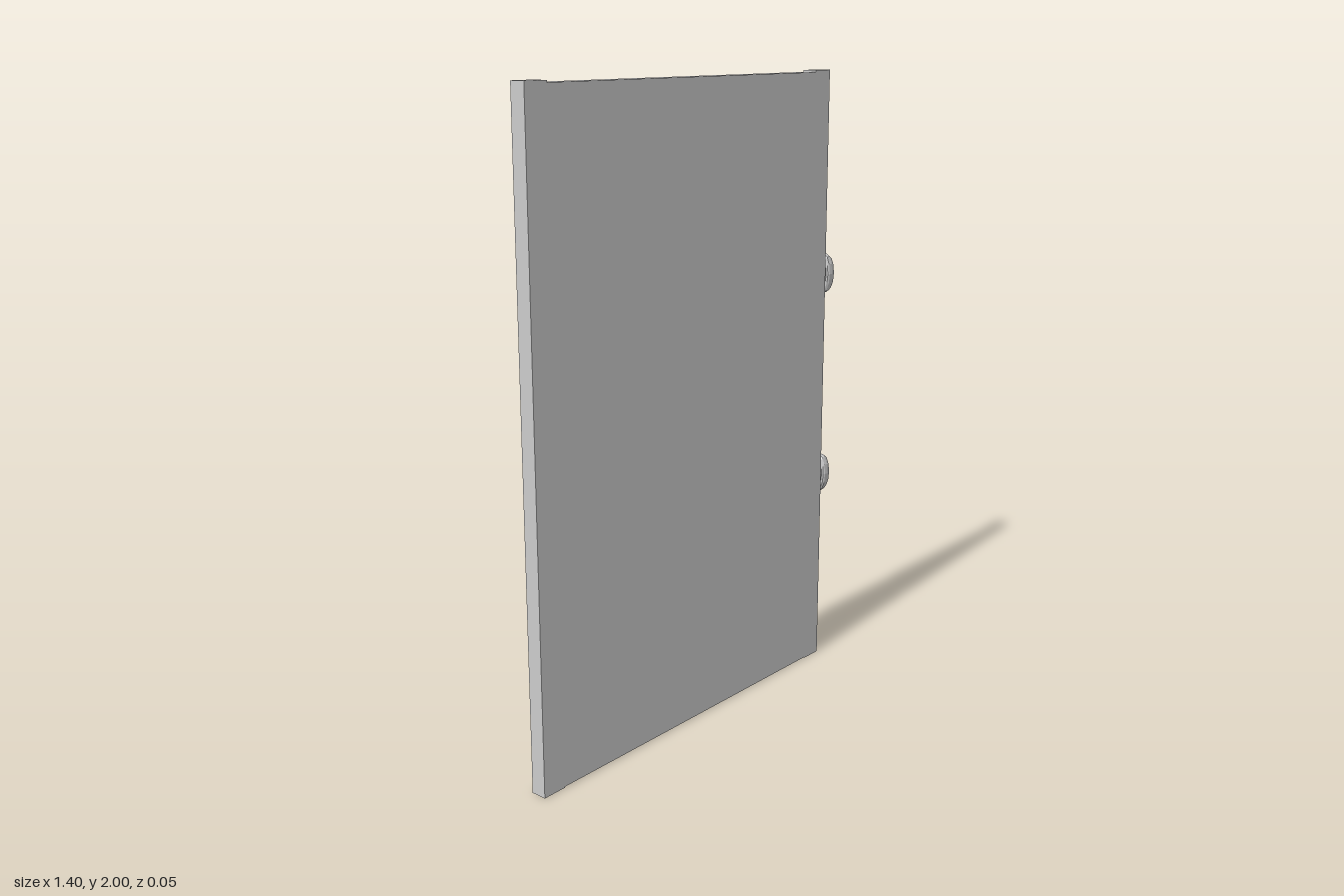
import * as THREE from 'three';

export function createModel() {
  const model = new THREE.Group();
  model.name = 'cabinetDoor';
  const material = new THREE.MeshStandardMaterial({ color: 0xcccccc });
  const knobMaterial = new THREE.MeshStandardMaterial({ color: 0xcccccc, flatShading: true });

  // Upright board between x0 and x1, y0 and y1
  function board(name, x0, x1, y0, y1) {
    const mesh = new THREE.Mesh(new THREE.BoxGeometry(x1 - x0, y1 - y0, 0.05), material);
    mesh.position.set((x0 + x1) / 2, (y0 + y1) / 2, 0);
    mesh.name = name;
    model.add(mesh);
  }
  board('rightStile', -0.7, -0.62, 0, 2);
  board('centrePanel', -0.62, 0.555, 0.003, 1.994);
  board('leftStile', 0.555, 0.63, 0, 2);

  // Flattened knob turned about the x axis: [radius, distance from the edge]
  const profile = [
    [0.043, 0], [0.038, 0.008], [0.04, 0.019], [0.055, 0.021],
    [0.064, 0.027], [0.065, 0.04], [0.056, 0.055], [0.032, 0.065], [0, 0.066],
  ].map(([r, d]) => new THREE.Vector2(r, d));
  const knobGeometry = new THREE.LatheGeometry(profile, 12);
  knobGeometry.rotateZ(-Math.PI / 2);
  knobGeometry.scale(1, 1, 0.38);

  for (const [name, y] of [['upperKnob', 1.34], ['lowerKnob', 0.648]]) {
    const knob = new THREE.Mesh(knobGeometry, knobMaterial);
    knob.name = name;
    knob.position.set(0.63, y, 0);
    model.add(knob);
  }
  return model;
}
